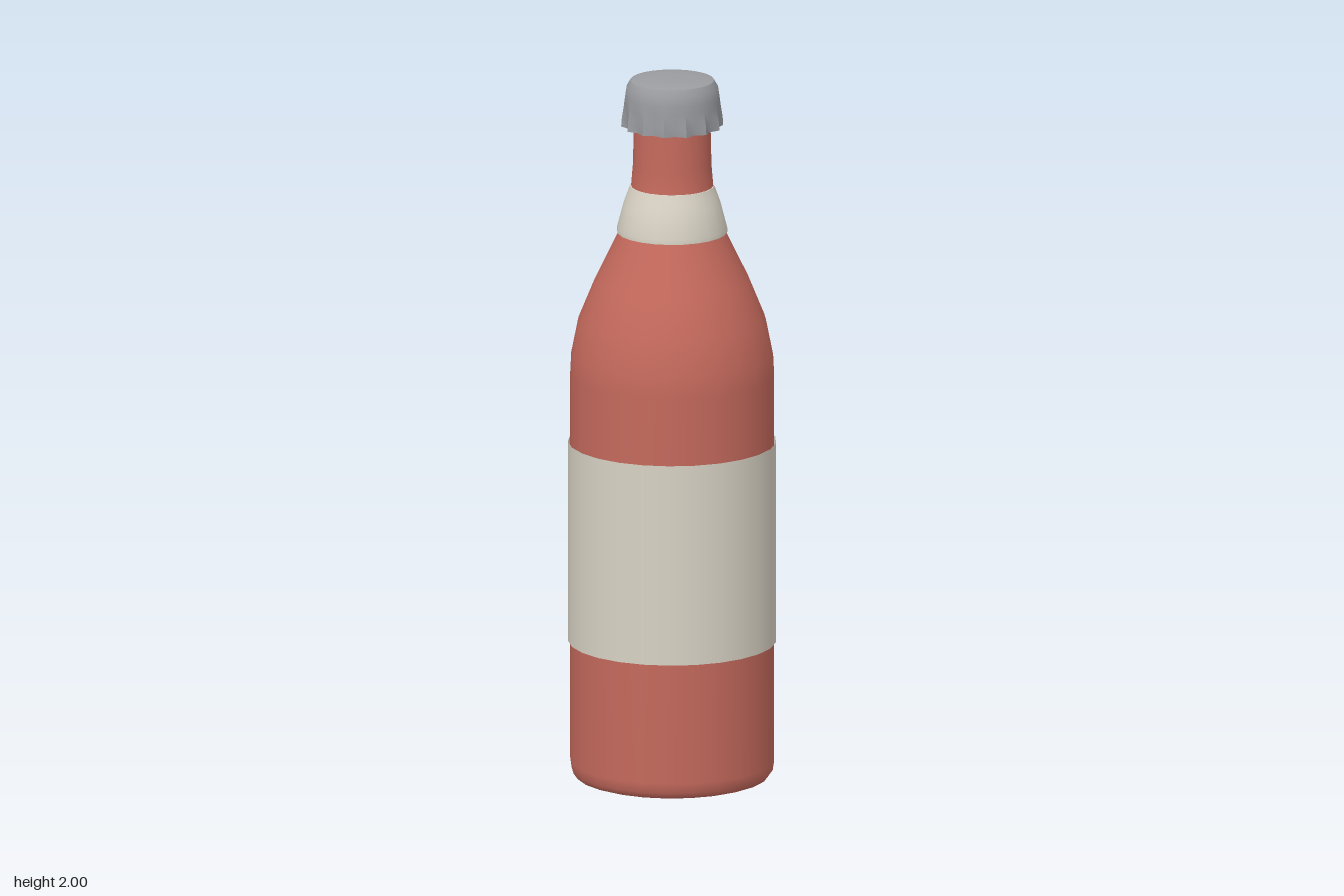
import * as THREE from 'three';
import { toCreasedNormals } from 'three/addons/utils/BufferGeometryUtils.js';

const material = (name, color, side = THREE.FrontSide) => {
  const m = new THREE.MeshStandardMaterial({ color, side });
  m.name = name;
  return m;
};

// Spins [radius, height] pairs around the y axis
const lathe = (profile, segments, start = 0, length = Math.PI * 2) =>
  new THREE.LatheGeometry(profile.map(([r, y]) => new THREE.Vector2(r, y)), segments, start, length);

export function createModel() {
  const group = new THREE.Group();
  group.name = 'bottle';
  const red = material('bottle red', 0xc4695c);
  const paper = material('label cream', 0xd8d2c4, THREE.DoubleSide);
  const metal = material('cap grey', 0x9a9ca0);

  const add = (name, geometry, mat) => {
    const mesh = new THREE.Mesh(geometry, mat);
    mesh.name = name;
    mesh.position.x = -0.003;
    mesh.position.z = -0.002;
    group.add(mesh);
    return mesh;
  };

  // Body with hollow base, straight sides, curved shoulder and neck
  const body = lathe([
    [0, 0.035], [0.13, 0.025], [0.235, 0.004], [0.25, 0], [0.268, 0.006], [0.279, 0.022], [0.283, 0.05],
    [0.283, 0.6], [0.283, 1.15], [0.28, 1.21], [0.26, 1.31], [0.215, 1.42],
    [0.152, 1.55], [0.128, 1.62], [0.114, 1.69], [0.109, 1.75], [0.106, 1.88],
  ], 24);
  add('bottleBody', body, red);

  // Main label, wrapping most of the way round
  const start = THREE.MathUtils.degToRad(-54.5);
  add('bodyLabel', lathe([[0.289, 0.39], [0.289, 0.96]], 16, start, THREE.MathUtils.degToRad(230.5)), paper);

  // Neck band with a small lip underneath
  const band = lathe([
    [0.143, 1.562], [0.153, 1.558], [0.153, 1.57], [0.135, 1.64], [0.124, 1.67], [0.117, 1.69], [0.111, 1.69],
  ], 24);
  add('neckLabel', toCreasedNormals(band, 0.7), paper);

  // Crown cap: the lower rim alternates between 14 ridges and valleys
  const ridges = 14;
  const profile = [
    [0.1, 1.875], [0.138, 1.86], [0.137, 1.885], [0.133, 1.92], [0.131, 1.945],
    [0.127, 1.972], [0.116, 1.991], [0.09, 1.997], [0.05, 1.999], [0, 2],
  ];
  const flute = [0, 0.009, 0.007, 0.003, 0, 0, 0, 0, 0, 0];
  const cap = lathe(profile, ridges * 2);
  const p = cap.attributes.position;
  for (let i = 0; i < p.count; i++) {
    const row = i % profile.length;
    const column = Math.floor(i / profile.length);
    const r = profile[row][0];
    if (flute[row] === 0) continue;
    const k = (r + (column % 2 ? 0.4 : -1.2) * flute[row]) / r;
    p.setX(i, p.getX(i) * k);
    p.setZ(i, p.getZ(i) * k);
  }
  add('crownCap', toCreasedNormals(cap, 0.6), metal);

  return group;
}
